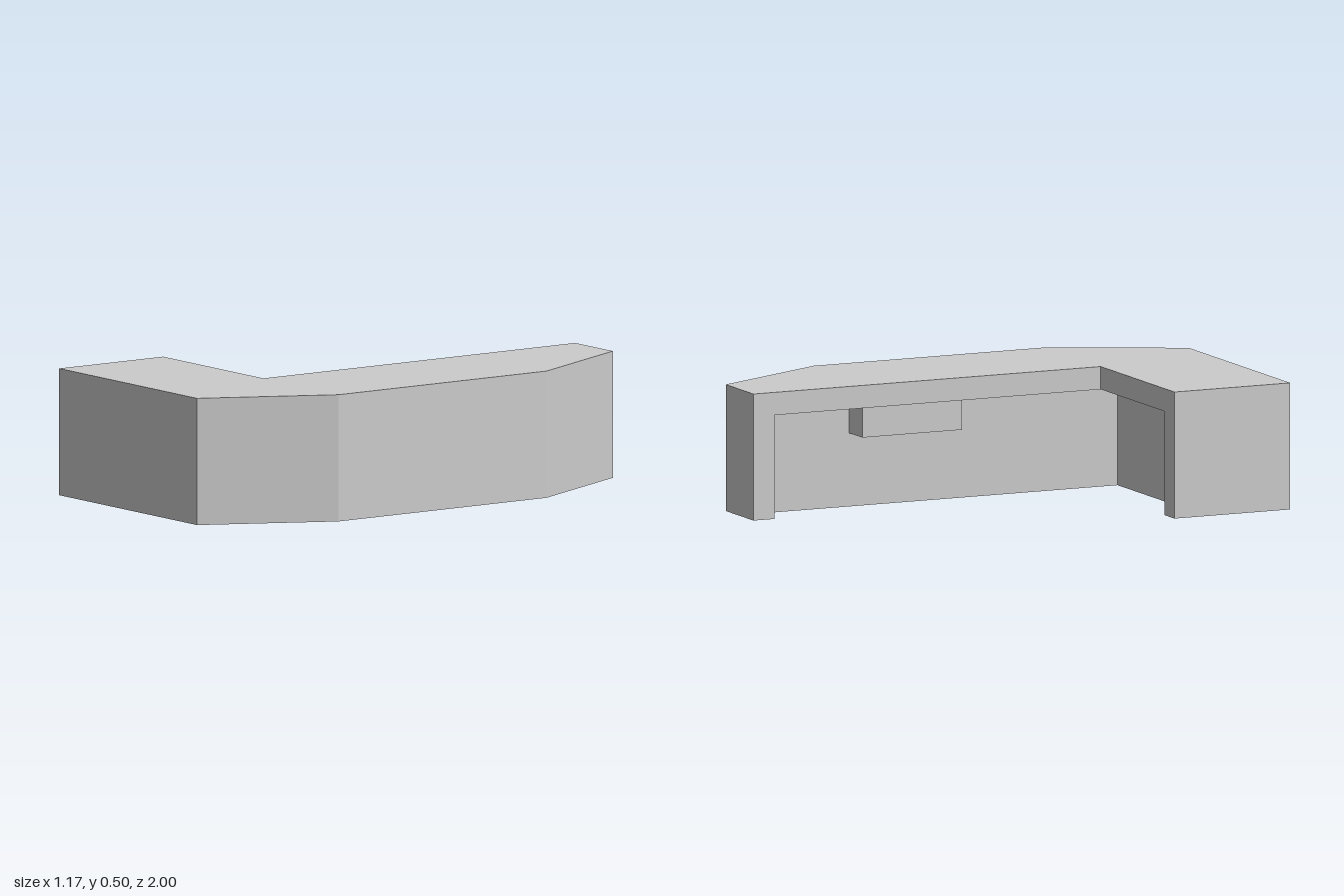
import * as THREE from 'three';

const HEIGHT = 0.5;
const TOP = 0.09;          // thickness of the counter top
const PANEL = 0.09;        // thickness of the end panels
const RECESS = 0.14;       // depth of the knee space
const INNER_X = 0.083, INNER_Z = 0.5, END_X = -0.583;

// outer edge of the L, from the short arm's end round to the long arm's end
const outer = [[END_X, 1], [0.333, 1], [0.583, 0.5], [0.583, -0.5], [0.333, -1], [INNER_X, -1]];

// upright prism from an (x, z) outline
function prism(name, outline, y, height, material) {
  const shape = new THREE.Shape(outline.map(([x, z]) => new THREE.Vector2(x, -z)));
  const geometry = new THREE.ExtrudeGeometry(shape, { depth: height, bevelEnabled: false });
  geometry.rotateX(-Math.PI / 2).translate(0, y, 0);
  const mesh = new THREE.Mesh(geometry, material);
  mesh.name = name;
  return mesh;
}

export function createModel() {
  const group = new THREE.Group();
  group.name = 'receptionDesk';
  const material = new THREE.MeshStandardMaterial({ color: 0xcccccc });
  const under = HEIGHT - TOP;

  // counter top: the full L
  group.add(prism('counterTop', [...outer, [INNER_X, INNER_Z], [END_X, INNER_Z]], under, TOP, material));

  // body: thick outer wall with an end panel on each arm, open inside
  group.add(prism('body', [
    ...outer,
    [INNER_X, -1 + PANEL],
    [INNER_X + RECESS, -1 + PANEL],
    [INNER_X + RECESS, INNER_Z + RECESS],
    [END_X + PANEL, INNER_Z + RECESS],
    [END_X + PANEL, INNER_Z],
    [END_X, INNER_Z],
  ], 0, under, material));

  // drawer hung below the long arm of the counter
  const drawerHeight = 0.12, drawerDepth = RECESS - 0.02;
  const drawer = new THREE.Mesh(new THREE.BoxGeometry(drawerDepth, drawerHeight, 0.43), material);
  drawer.name = 'drawer';
  drawer.position.set(INNER_X + RECESS - drawerDepth / 2, under - drawerHeight / 2, -0.305);
  group.add(drawer);

  return group;
}
